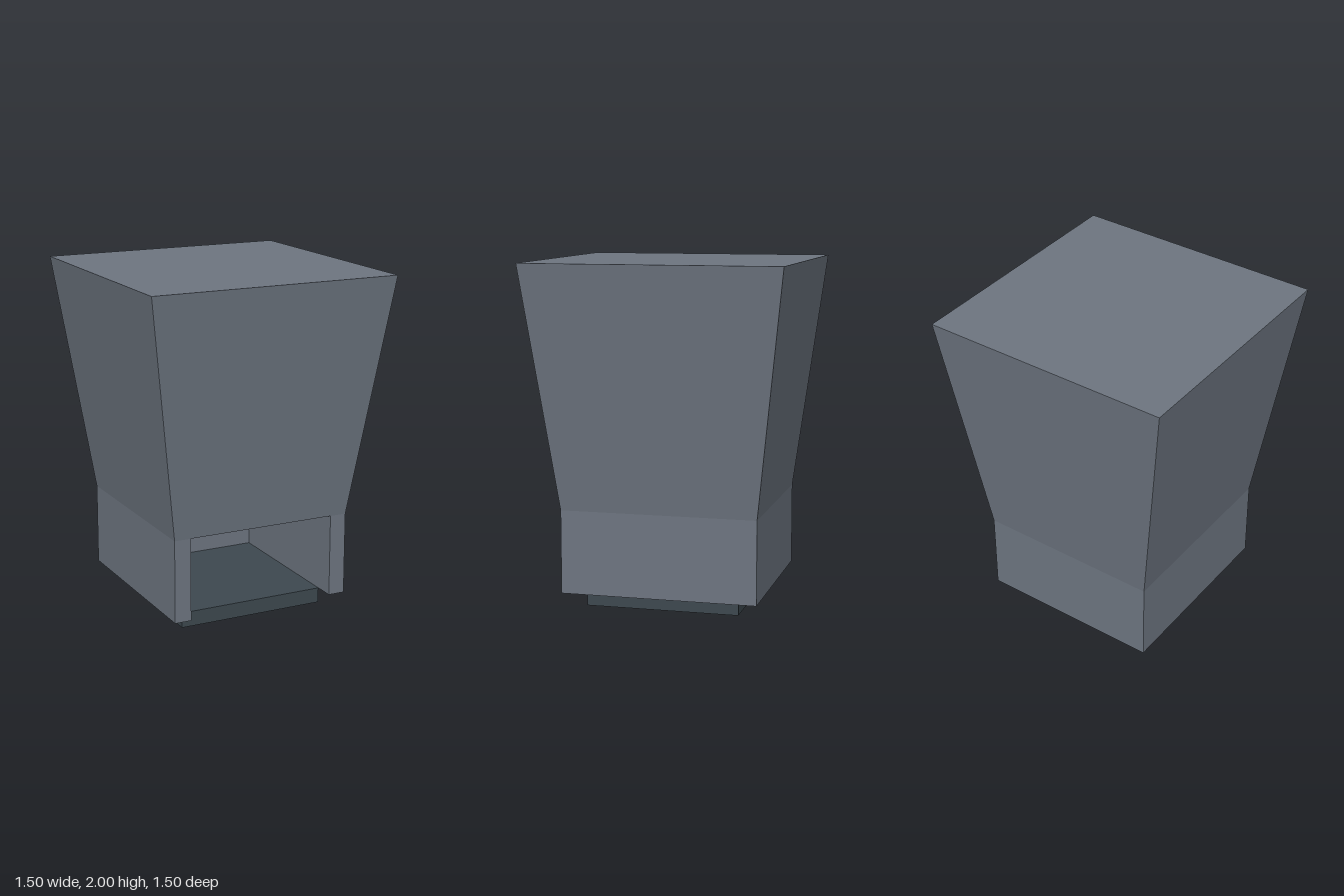
import * as THREE from 'three';

export function createModel() {
  const model = new THREE.Group();
  const slate = new THREE.MeshStandardMaterial({ name: 'slate grey', color: 0x6d7580 });
  const dark = new THREE.MeshStandardMaterial({ name: 'dark slate', color: 0x3d484f });

  const floorY = 0.09, shoulderY = 0.58, topY = 2;
  const halfX = 0.55, halfZ = 0.575, inner = 0.45, halfTop = 0.75;

  // Box given by its lower and upper corners
  function addBox(name, material, min, max) {
    const size = max.map((v, i) => v - min[i]);
    const mesh = new THREE.Mesh(new THREE.BoxGeometry(...size), material);
    mesh.position.set(...max.map((v, i) => (v + min[i]) / 2));
    mesh.name = name;
    model.add(mesh);
    return mesh;
  }

  // Hopper: a box widened at the top
  const hopper = addBox('hopper', slate, [-halfX, shoulderY, -halfZ], [halfX, topY, halfZ]);
  const pos = hopper.geometry.attributes.position;
  for (let i = 0; i < pos.count; i++) {
    if (pos.getY(i) > 0) {
      pos.setX(i, Math.sign(pos.getX(i)) * halfTop);
      pos.setZ(i, Math.sign(pos.getZ(i)) * halfTop);
    }
  }
  hopper.geometry.computeVertexNormals();

  // Lower housing: two side walls and a back wall, open at the front
  addBox('leftWall', slate, [inner, floorY, -halfZ], [halfX, shoulderY, halfZ]);
  addBox('rightWall', slate, [-halfX, floorY, -halfZ], [-inner, shoulderY, halfZ]);
  addBox('backWall', slate, [-inner, floorY, -halfZ], [inner, shoulderY, -inner]);

  // Base slab forming the floor of the opening
  addBox('base', dark, [-inner, 0, -inner], [inner, floorY, inner]);

  return model;
}
